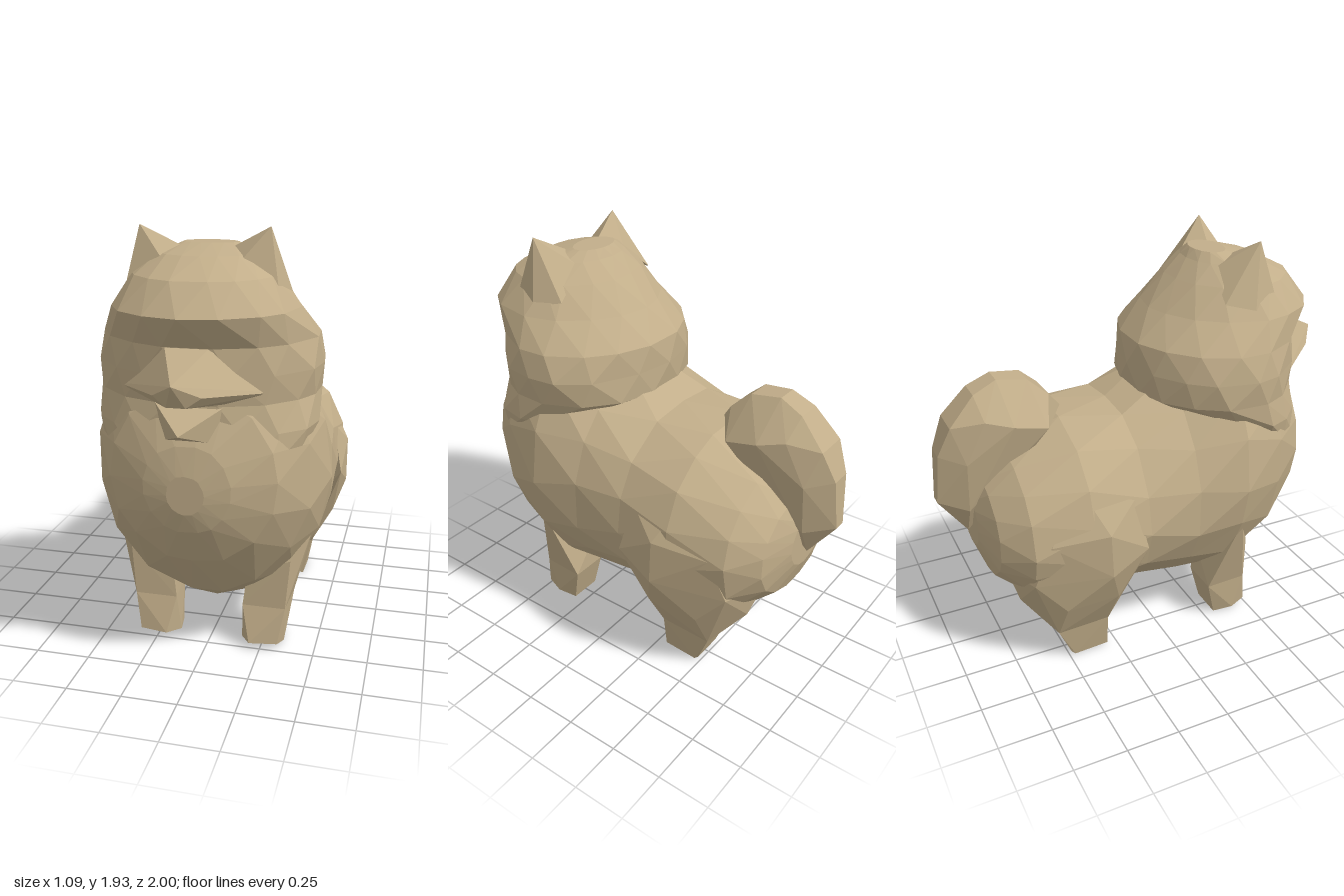
import * as THREE from 'three';
import { ConvexGeometry } from 'three/addons/geometries/ConvexGeometry.js';

const SIDES = 16;

// Skin over rings of points; odd rings are turned half a step and points
// wander slightly for an uneven faceted coat
function loft(sections, place) {
  const pos = [];
  let seed = 7;
  const wander = (amount) => {
    seed = (seed * 16807) % 2147483647;
    return (seed / 2147483647 - 0.5) * amount;
  };
  const rings = sections.map((s, k) => Array.from({ length: SIDES }, (_, i) => {
    const a = (i + (k % 2) / 2 + wander(0.35)) / SIDES * Math.PI * 2;
    const r = 1.01 + wander(0.03);
    return place(s, Math.cos(a) * r, Math.sin(a) * r);
  }));
  const tri = (...pts) => pts.forEach((p) => pos.push(p.x, p.y, p.z));
  for (let k = 0; k < rings.length - 1; k++) {
    const A = rings[k], B = rings[k + 1];
    for (let i = 0; i < SIDES; i++) {
      const j = (i + 1) % SIDES;
      if (k % 2 === 0) { tri(A[i], A[j], B[i]); tri(A[j], B[j], B[i]); }
      else { tri(A[i], A[j], B[j]); tri(A[i], B[j], B[i]); }
    }
  }
  const cap = (ring, last) => {
    const c = place(sections[last ? sections.length - 1 : 0], 0, 0);
    ring.forEach((p, i) => {
      const q = ring[(i + 1) % SIDES];
      if (last) tri(p, q, c); else tri(q, p, c);
    });
  };
  cap(rings[0], false);
  cap(rings[rings.length - 1], true);
  const g = new THREE.BufferGeometry();
  g.setAttribute('position', new THREE.Float32BufferAttribute(pos, 3));
  g.computeVertexNormals();
  return g;
}

// Faceted hull; side mirrors it across x
const hull = (pts, side = 1) =>
  new ConvexGeometry(pts.map(([x, y, z]) => new THREE.Vector3(x * side, y, z)));

// Points given as [half width, y, z], placed on both sides
const paired = (pts) => hull(pts.flatMap(([x, y, z]) => (x ? [[x, y, z], [-x, y, z]] : [[0, y, z]])));

export function createModel() {
  const model = new THREE.Group();
  model.name = 'fluffyDog';
  const fur = new THREE.MeshStandardMaterial({ color: 0xc2ae8a, flatShading: true });
  fur.name = 'tan fur';
  const add = (name, geometry) => {
    const mesh = new THREE.Mesh(geometry, fur);
    mesh.name = name;
    model.add(mesh);
  };

  // Body, rump to chest: z, bottom, top, half width; the back is a little squarer than the belly
  add('body', loft([
    [-0.85, 0.58, 0.84, 0.14], [-0.8, 0.44, 0.94, 0.32], [-0.68, 0.33, 1.06, 0.44],
    [-0.42, 0.27, 1.19, 0.51], [-0.15, 0.28, 1.2, 0.51], [0.1, 0.23, 1.31, 0.52],
    [0.34, 0.19, 1.52, 0.535], [0.55, 0.3, 1.48, 0.48], [0.72, 0.53, 1.28, 0.36],
    [0.81, 0.7, 1.08, 0.19], [0.835, 0.79, 0.96, 0.08],
  ], ([z, b, t, w], c, s) => {
    const x = s > 0 ? Math.sign(c) * Math.abs(c) ** 0.88 : c;
    return new THREE.Vector3(w * x, (b + t) / 2 + (t - b) / 2 * s, z);
  }));

  // Ruff and head, neck to crown: y, back z, front z, half width
  add('head', loft([
    [0.9, 0.42, 0.77, 0.33], [1.0, 0.32, 0.79, 0.43], [1.12, 0.16, 0.77, 0.49],
    [1.24, -0.04, 0.76, 0.49], [1.36, -0.04, 0.77, 0.5],
    [1.48, -0.03, 0.78, 0.47], [1.61, 0.08, 0.86, 0.4], [1.74, 0.19, 0.76, 0.31],
    [1.82, 0.27, 0.6, 0.21], [1.86, 0.3, 0.45, 0.12],
  ], ([y, b, f, w], c, s) => new THREE.Vector3(w * s, y, (b + f) / 2 + (f - b) / 2 * c)));

  // Muzzle with pointed nose, and open lower jaw
  add('muzzle', paired([
    [0.09, 1.48, 0.78], [0, 1.38, 1], [0.1, 1.32, 0.92], [0.04, 1.28, 0.94],
    [0.18, 1.3, 0.79], [0.34, 1.285, 0.64], [0.15, 1.25, 0.74],
  ]));
  add('lowerJaw', paired([
    [0.15, 1.24, 0.74], [0, 1.155, 0.92], [0.12, 1.08, 0.75], [0, 1.19, 0.7],
  ]));

  // Tail curled over the rump
  add('tail', paired([
    [0, 1.2, -0.38], [0.08, 1.3, -0.46], [0.06, 1.38, -0.55], [0.18, 1.18, -0.5],
    [0.19, 1.22, -0.66], [0.15, 1.25, -0.78], [0.05, 1.4, -0.69], [0.06, 1.35, -0.8],
    [0.13, 1.05, -0.87], [0.08, 1.22, -0.92], [0.05, 1.08, -0.98], [0.03, 0.84, -1],
    [0.1, 0.8, -0.87], [0.03, 0.66, -0.87],
  ]));

  for (const [label, side] of [['left', 1], ['right', -1]]) {
    // Ear, broad at the base
    add(label + 'Ear', hull([
      [0.28, 1.935, 0.49], [0.37, 1.65, 0.43], [0.1, 1.84, 0.44],
      [0.16, 1.8, 0.32], [0.32, 1.68, 0.3], [0.33, 1.67, 0.56], [0.15, 1.78, 0.56],
    ], side));

    // Front leg: shoulder tapering to a small paw
    add(label + 'Shoulder', hull([
      [0.48, 0.62, 0.36], [0.42, 0.44, 0.31], [0.38, 0.44, 0.45], [0.18, 0.36, 0.45],
      [0.2, 0.4, 0.25], [0.37, 0.2, 0.25], [0.36, 0.2, 0.46], [0.16, 0.2, 0.46],
      [0.18, 0.2, 0.25],
    ], side));
    add(label + 'FrontPaw', hull([
      [0.37, 0.2, 0.25], [0.36, 0.2, 0.46], [0.16, 0.2, 0.46], [0.18, 0.2, 0.25],
      [0.33, 0.03, 0.49], [0.2, 0.03, 0.51], [0.35, 0.01, 0.41], [0.15, 0.01, 0.42],
      [0.33, 0, 0.31], [0.17, 0, 0.31],
    ], side));

    // Hind leg: broad thigh, sunk into the rump, tapering to a small paw
    add(label + 'Thigh', hull([
      [0.48, 0.9, -0.22], [0.53, 0.66, -0.17], [0.54, 0.78, -0.36], [0.54, 0.56, -0.35],
      [0.43, 0.97, -0.45], [0.46, 0.74, -0.61], [0.41, 0.52, -0.68], [0.2, 0.5, -0.75],
      [0.48, 0.4, -0.3], [0.44, 0.36, -0.54], [0.26, 0.36, -0.71], [0.2, 0.4, -0.33],
      [0.37, 0.2, -0.31], [0.18, 0.2, -0.31], [0.36, 0.18, -0.56], [0.18, 0.18, -0.56],
    ], side));
    add(label + 'HindPaw', hull([
      [0.37, 0.2, -0.31], [0.18, 0.2, -0.31], [0.36, 0.18, -0.56], [0.18, 0.18, -0.56],
      [0.33, 0.01, -0.3], [0.15, 0.01, -0.3], [0.33, 0, -0.47], [0.17, 0, -0.47],
      [0.33, 0.02, -0.49], [0.18, 0.02, -0.49],
    ], side));
  }
  return model;
}
